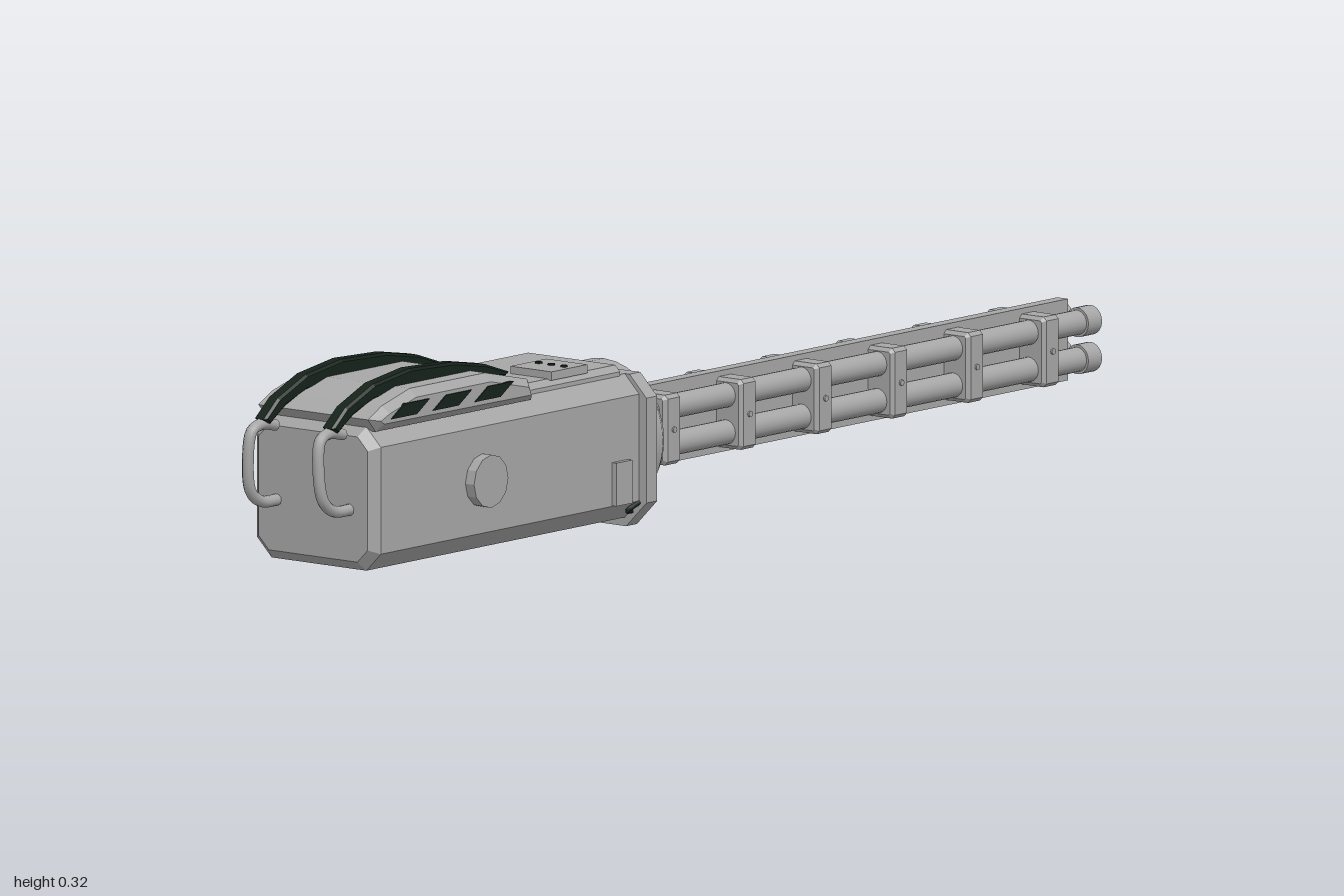
import * as THREE from 'three';

const metal = new THREE.MeshStandardMaterial({ color: 0xa6a6a6, flatShading: false });
metal.name = 'grey metal';
const dark = new THREE.MeshStandardMaterial({ color: 0x16221b });
dark.name = 'dark rubber';

const AXIS_Y = 0.13; // height of the barrel axis

function add(parent, name, geo, mat, x = 0, y = 0, z = 0) {
  const m = new THREE.Mesh(geo, mat);
  m.name = name;
  m.position.set(x, y, z);
  parent.add(m);
  return m;
}

const shapeOf = pts => new THREE.Shape(pts.map(p => new THREE.Vector2(p[0], p[1])));

// Cross-section in x/y, run from z0 to z1 with chamfered ends
function prismZ(pts, z0, z1, b = 0) {
  const g = new THREE.ExtrudeGeometry(shapeOf(pts), {
    depth: z1 - z0 - 2 * b, bevelEnabled: b > 0, bevelSegments: 1,
    bevelSize: b, bevelThickness: b, bevelOffset: -b,
  });
  return g.translate(0, 0, z0 + b);
}

// Side profile in z/y, run across x and centred, with chamfered sides
function prismX(pts, width, b = 0) {
  const g = new THREE.ExtrudeGeometry(shapeOf(pts), {
    depth: width - 2 * b, bevelEnabled: b > 0, bevelSegments: 1,
    bevelSize: b, bevelThickness: b, bevelOffset: -b,
  });
  return g.translate(0, 0, -(width - 2 * b) / 2).rotateY(-Math.PI / 2);
}

// Rectangle with cut corners
function cutRect(x, y0, y1, cBottom, cTop) {
  return [[-x + cBottom, y0], [x - cBottom, y0], [x, y0 + cBottom], [x, y1 - cTop],
    [x - cTop, y1], [-x + cTop, y1], [-x, y1 - cTop], [-x, y0 + cBottom]];
}

// Turned part about the barrel axis; profile is [radius, z]
function turned(profile, segments) {
  const g = new THREE.LatheGeometry(profile.map(p => new THREE.Vector2(p[0], p[1])), segments);
  return g.rotateX(Math.PI / 2).toNonIndexed();
}

function flat(g) {
  const n = g.index ? g.toNonIndexed() : g;
  n.computeVertexNormals();
  return n;
}

export function createModel() {
  const root = new THREE.Group();
  root.name = 'rotaryGun';

  // Housing, raised top panel and mounting flange
  const body = new THREE.Group();
  body.name = 'housing';
  root.add(body);
  add(body, 'bodyShell', prismZ(cutRect(0.128, 0.014, 0.247, 0.03, 0.03), 0.23, 0.915, 0.015), metal);
  add(body, 'topPanel', prismZ(cutRect(0.1, 0.235, 0.262, 0.002, 0.01), 0.26, 0.52, 0.006), metal);
  add(body, 'flange', prismZ(cutRect(0.143, 0.0, 0.247, 0.042, 0.035), 0.225, 0.252), metal);

  // Switch box with three dots
  add(body, 'switchBox', new THREE.BoxGeometry(0.085, 0.014, 0.09), metal, 0.055, 0.267, 0.39);
  for (let i = 0; i < 3; i++) {
    add(body, 'switchDot', new THREE.CylinderGeometry(0.006, 0.006, 0.003, 10), dark, 0.03 + i * 0.026, 0.275, 0.385);
  }

  // Side discs and latches
  for (const s of [-1, 1]) {
    const disc = flat(new THREE.CylinderGeometry(0.043, 0.043, 0.02, 12).rotateZ(Math.PI / 2));
    add(body, 'sideDisc', disc, metal, s * 0.136, AXIS_Y, 0.645);
    add(body, 'sideLatch', new THREE.BoxGeometry(0.014, 0.07, 0.04), metal, s * 0.13, 0.08, 0.3);
  }

  // Small cable at the lower corner
  const cable = new THREE.CatmullRomCurve3([
    new THREE.Vector3(0.112, 0.026, 0.252), new THREE.Vector3(0.122, 0.03, 0.275), new THREE.Vector3(0.128, 0.042, 0.252),
  ]);
  add(body, 'cable', new THREE.TubeGeometry(cable, 8, 0.004, 6), dark);

  // Lid with slanted side vents
  const lid = new THREE.Group();
  lid.name = 'lid';
  root.add(lid);
  add(lid, 'lidShell', prismX([[0.505, 0.24], [0.895, 0.24], [0.915, 0.262], [0.88, 0.28], [0.81, 0.299],
    [0.62, 0.299], [0.515, 0.275]], 0.252, 0.013), metal);
  for (const s of [-1, 1]) {
    for (const z of [0.825, 0.72, 0.615]) {
      const vent = prismX([[z - 0.015, 0.259], [z + 0.048, 0.259], [z + 0.015, 0.28], [z - 0.048, 0.28]], 0.006);
      add(lid, 'vent', vent, dark, s * 0.1255, 0, 0);
    }
  }

  // Dark straps over the lid, each ending in a bent grip tube
  for (const s of [-1, 1]) {
    const strap = prismX([[0.95, 0.24], [0.965, 0.25], [0.93, 0.28], [0.86, 0.309], [0.77, 0.322], [0.66, 0.318],
      [0.58, 0.304], [0.52, 0.284], [0.53, 0.277], [0.64, 0.29], [0.86, 0.284], [0.91, 0.266]], 0.025, 0.004);
    add(lid, 'strap', strap, dark, s * 0.07, 0, 0);
    const grip = new THREE.CatmullRomCurve3([[0.07, 0.235, 0.925], [0.07, 0.241, 0.96], [0.071, 0.232, 0.983],
      [0.073, 0.185, 0.99], [0.075, 0.135, 0.981], [0.075, 0.115, 0.955], [0.075, 0.112, 0.91]]
      .map(p => new THREE.Vector3(s * p[0], p[1], p[2])));
    add(lid, 'grip', new THREE.TubeGeometry(grip, 36, 0.0095, 10), metal);
  }

  // Stepped collar with a recessed dark face
  const collar = new THREE.Group();
  collar.name = 'collar';
  collar.position.y = AXIS_Y;
  root.add(collar);
  const steps = [[0.122, 0.23], [0.122, 0.185], [0.112, 0.17], [0.092, 0.17], [0.092, 0.156], [0.087, 0.15],
    [0.076, 0.15], [0.076, 0.2]];
  for (let i = 0; i < steps.length - 1; i++) {
    const g = turned([steps[i], steps[i + 1]], 32);
    const m = add(collar, 'collarStep', g, metal);
    // keep every facet facing outwards from the ring
    const n = g.attributes.position.array;
    for (let k = 0; k < n.length; k += 9) {
      for (let j = 0; j < 3; j++) {
        const t = n[k + 3 + j];
        n[k + 3 + j] = n[k + 6 + j];
        n[k + 6 + j] = t;
      }
    }
    const [dr, dz] = [steps[i + 1][0] - steps[i][0], steps[i + 1][1] - steps[i][1]];
    const len = Math.hypot(dr, dz), p = g.attributes.position, q = g.attributes.normal;
    for (let k = 0; k < p.count; k++) {
      const r = Math.hypot(p.getX(k), p.getY(k));
      q.setXYZ(k, (-dz / len) * p.getX(k) / r, (-dz / len) * p.getY(k) / r, dr / len);
    }
    m.geometry = g;
  }
  add(collar, 'collarRecess', new THREE.CircleGeometry(0.077, 32).rotateY(Math.PI), dark, 0, 0, 0.168);

  // Barrel cluster: four barrels, centre plate and clamps
  const cluster = new THREE.Group();
  cluster.name = 'barrelCluster';
  cluster.position.y = AXIS_Y;
  root.add(cluster);
  for (const sx of [-1, 1]) {
    for (const sy of [-1, 1]) {
      const x = sx * 0.03, y = sy * 0.03;
      add(cluster, 'barrel', new THREE.CylinderGeometry(0.02, 0.02, 1.15, 20).rotateX(Math.PI / 2), metal, x, y, -0.395);
      add(cluster, 'muzzle', new THREE.CylinderGeometry(0.024, 0.024, 0.034, 20).rotateX(Math.PI / 2), metal, x, y, -0.982);
      add(cluster, 'bore', new THREE.CircleGeometry(0.012, 16).rotateY(Math.PI), dark, x, y, -0.9995);
    }
  }
  add(cluster, 'centrePlate', new THREE.BoxGeometry(0.022, 0.132, 1.125), metal, 0, 0, -0.403);
  for (let i = 0; i < 6; i++) {
    const z = 0.085 - i * 0.19;
    add(cluster, 'clamp', prismZ(cutRect(0.062, -0.057, 0.057, 0.006, 0.006), z - 0.021, z + 0.021, 0.006), metal);
    for (const s of [-1, 1]) {
      add(cluster, 'clampBolt', new THREE.CylinderGeometry(0.005, 0.005, 0.004, 8).rotateZ(Math.PI / 2), metal, s * 0.063, 0, z);
    }
  }
  return root;
}
